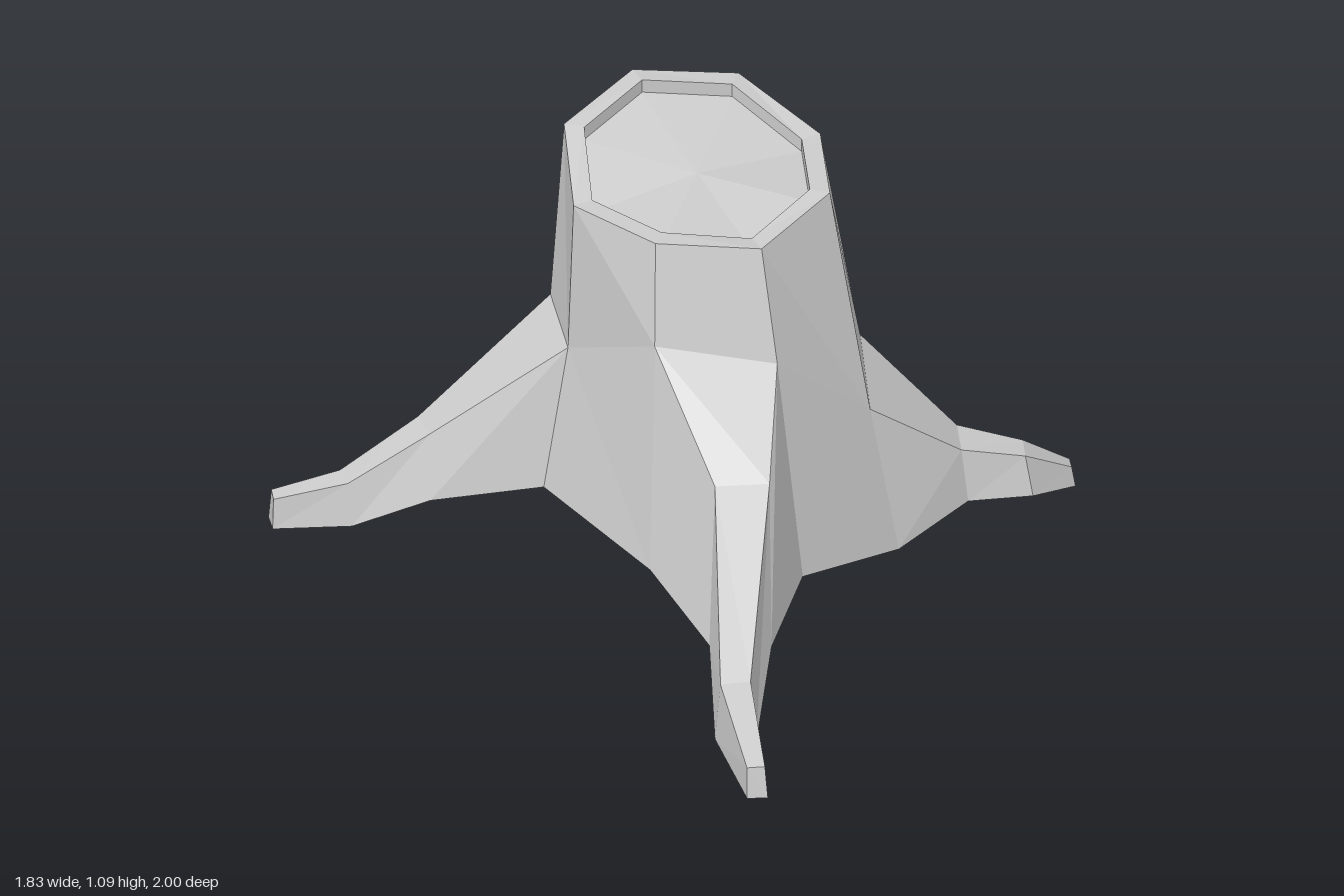
import * as THREE from 'three';

const material = new THREE.MeshStandardMaterial({ color: 0xcccccc, flatShading: true });

// Turns quads (corners counter-clockwise from outside) into a faceted mesh.
function facetMesh(name, quads) {
  const pos = [];
  const [a, b, c] = [0, 1, 2].map(() => new THREE.Vector3());
  const tri = (p, q, r) => {
    a.set(...p); b.set(...q); c.set(...r);
    const area = b.clone().sub(a).cross(c.clone().sub(a)).length();
    if (area > 1e-7) pos.push(...p, ...q, ...r);
  };
  for (const [p, q, r, s] of quads) {
    tri(p, q, r);
    if (s) tri(p, r, s);
  }
  const geo = new THREE.BufferGeometry();
  geo.setAttribute('position', new THREE.Float32BufferAttribute(pos, 3));
  geo.computeVertexNormals();
  const mesh = new THREE.Mesh(geo, material);
  mesh.name = name;
  return mesh;
}

// Quads joining two closed rings, first ring above (or inside) the second.
const loft = (upper, lower) => upper.map((p, i) => {
  const j = (i + 1) % upper.length;
  return [p, lower[i], lower[j], upper[j]];
});

// Eight trunk edges, starting at the front and running towards +x.
const cutHeights = [0.97, 1.0, 1.0, 1.065, 1.09, 1.065, 1.0, 1.0];
const octagon = (radius, drop) => cutHeights.map((y, i) => {
  const t = i * Math.PI / 4;
  return [0.055 + radius * Math.sin(t), y - drop, -0.23 + radius * Math.cos(t)];
});
const waist = [
  [0.055, 0.69, 0.18], [0.34, 0.43, 0.11], [0.46, 0.44, -0.17], [0.335, 0.62, -0.46],
  [0.055, 0.62, -0.565], [-0.235, 0.62, -0.425], [-0.29, 0.6, -0.23], [-0.21, 0.75, 0.06],
];
const foot = [
  [0.055, 0.16, 0.31], [0.38, 0.06, 0.18], [0.53, 0.06, -0.17], [0.39, 0.11, -0.49],
  [0.055, 0.15, -0.64], [-0.27, 0.2, -0.435], [-0.36, 0.23, -0.22], [-0.28, 0.2, 0.17],
];

// Each root grows between two trunk edges; sections run outwards with
// corners top-left, top-right, bottom-right, bottom-left.
const roots = [
  { name: 'frontRoot', edges: [7, 0], sections: [
    [[-0.18, 0.49, 0.31], [-0.06, 0.49, 0.36], [-0.17, 0.19, 0.58], [-0.305, 0.2, 0.52]],
    [[-0.38, 0.23, 0.72], [-0.31, 0.23, 0.74], [-0.31, 0.075, 0.77], [-0.395, 0.08, 0.72]],
    [[-0.44, 0.16, 0.97], [-0.4, 0.16, 0.985], [-0.4, 0.08, 1.0], [-0.445, 0.08, 0.98]],
  ] },
  { name: 'leftRoot', edges: [1, 2], sections: [
    [[0.6, 0.215, 0.08], [0.64, 0.215, -0.02], [0.65, 0.08, -0.03], [0.61, 0.075, 0.095]],
    [[0.75, 0.175, 0.12], [0.78, 0.17, 0.05], [0.79, 0.07, 0.045], [0.76, 0.07, 0.14]],
    [[0.895, 0.075, 0.08], [0.91, 0.07, 0.04], [0.915, 0.02, 0.04], [0.9, 0.025, 0.09]],
  ] },
  { name: 'backRoot', edges: [3, 4], sections: [
    [[0.35, 0.5, -0.51], [0.055, 0.5, -0.64], foot[4], foot[3]],
    [[0.34, 0.28, -0.73], [0.15, 0.3, -0.81], [0.14, 0.05, -0.83], [0.37, 0.06, -0.75]],
    [[0.39, 0.12, -0.95], [0.29, 0.11, -0.985], [0.285, 0, -1.0], [0.395, 0, -0.96]],
  ] },
  { name: 'rightRoot', edges: [5, 6], sections: [
    [[-0.56, 0.34, -0.48], [-0.57, 0.34, -0.4], [-0.59, 0.18, -0.36], [-0.57, 0.18, -0.485]],
    [[-0.74, 0.21, -0.535], [-0.75, 0.21, -0.475], [-0.75, 0.1, -0.455], [-0.74, 0.1, -0.54]],
    [[-0.895, 0.17, -0.59], [-0.91, 0.17, -0.55], [-0.915, 0.09, -0.545], [-0.9, 0.09, -0.595]],
  ] },
];

export function createModel() {
  const group = new THREE.Group();
  const rim = octagon(0.33, 0);
  const innerRim = octagon(0.28, 0);
  const floor = octagon(0.28, 0.035);

  group.add(facetMesh('trunk', loft(rim, waist)));

  // Raised bark rim around the recessed cut face
  group.add(facetMesh('barkRim', [...loft(innerRim, rim), ...loft(floor, innerRim)]));
  const fan = (ring, centre) => ring.map((p, i) => [centre, p, ring[(i + 1) % ring.length]]);
  group.add(facetMesh('cutFace', fan(floor, [0.055, 0.99, -0.23])));

  // Flared bark between neighbouring roots
  const skirt = loft(waist, foot).filter((_, i) => i % 2 === 0);
  // Bark fold beside the back root's shoulder
  group.add(facetMesh('flaredBark', skirt));

  for (const { name, edges: [l, r], sections } of roots) {
    const all = [[waist[l], waist[r], foot[r], foot[l]], ...sections];
    const quads = [];
    for (let i = 0; i + 1 < all.length; i++) quads.push(...loft(all[i], all[i + 1]));
    const [tl, tr, br, bl] = all[all.length - 1];
    quads.push([tl, bl, br, tr]);
    group.add(facetMesh(name, quads));
  }

  // Underside
  const under = fan(foot, [0.05, 0.12, -0.17]).map(([c, p, q]) => [c, q, p]);
  group.add(facetMesh('underside', under));
  return group;
}
